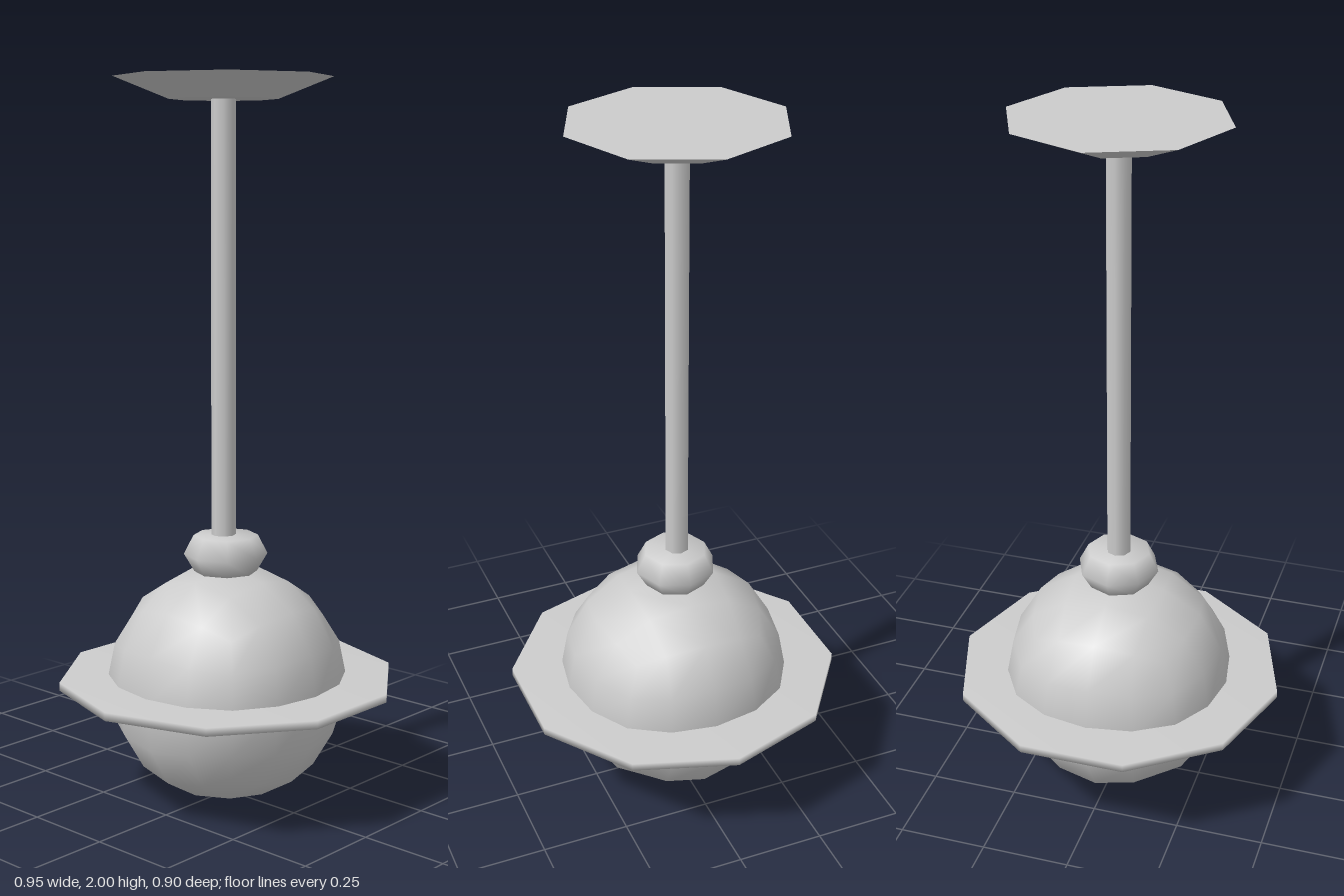
import * as THREE from 'three';
import { mergeVertices } from 'three/addons/utils/BufferGeometryUtils.js';

const material = new THREE.MeshStandardMaterial({ color: 0xcccccc });

function addPart(group, name, geometry, x = 0, y = 0, z = 0) {
  const mesh = new THREE.Mesh(geometry, material);
  mesh.name = name;
  mesh.position.set(x, y, z);
  group.add(mesh);
  return mesh;
}

// Revolve a bottom-to-top profile, with corners on the x axis
function lathe(profile, sides) {
  const points = profile.map(([r, y]) => new THREE.Vector2(r, y));
  return new THREE.LatheGeometry(points, sides, Math.PI / 2);
}

// Ball made as a twice-subdivided, smoothed cube
function globeGeometry(radius) {
  const box = new THREE.BoxGeometry(4, 4, 4, 4, 4, 4);
  box.deleteAttribute('uv');
  box.deleteAttribute('normal');
  // smoothed coordinates for each grid point, keyed by its sorted distances
  const smoothed = {
    '200': [0, 0, 0.8785],
    '210': [0, 0.3507, 0.8194],
    '220': [0, 0, 0.643],
    '211': [0, 0.3264, 0.7639],
    '221': [0, 0.302, 0.599],
    '222': [0, 0, 0.509],
  };
  const pos = box.attributes.position;
  const scale = radius / 0.8785;
  for (let i = 0; i < pos.count; i++) {
    const p = [pos.getX(i), pos.getY(i), pos.getZ(i)].map(Math.round);
    const key = p.map(Math.abs).sort((a, b) => b - a).join('');
    const q = p.map((v) => Math.sign(v) * smoothed[key][Math.abs(v)] * scale);
    pos.setXYZ(i, ...q);
  }
  const geometry = mergeVertices(box);
  geometry.computeVertexNormals();
  return geometry;
}

export function createModel() {
  const lamp = new THREE.Group();
  lamp.name = 'pendantLamp';

  // Ceiling mount and hanging rod
  addPart(lamp, 'ceilingMount', new THREE.CylinderGeometry(0.297, 0.147, 0.06, 8), -0.002, 1.97, -0.012);
  addPart(lamp, 'rod', new THREE.CylinderGeometry(0.034, 0.034, 1.25, 8), -0.002, 1.325, -0.012);

  // Bulging collar between rod and globe
  const collar = [[0, 0.643], [0.088, 0.645], [0.117, 0.695], [0.09, 0.748], [0, 0.75]];
  addPart(lamp, 'collar', lathe(collar, 8), 0, 0, -0.006);

  // Globe with a thin disc around its middle
  addPart(lamp, 'globe', globeGeometry(0.328), 0, 0.328, 0);
  addPart(lamp, 'disc', lathe([[0, 0.327], [0.475, 0.327], [0.475, 0.35], [0, 0.35]], 10));

  return lamp;
}
